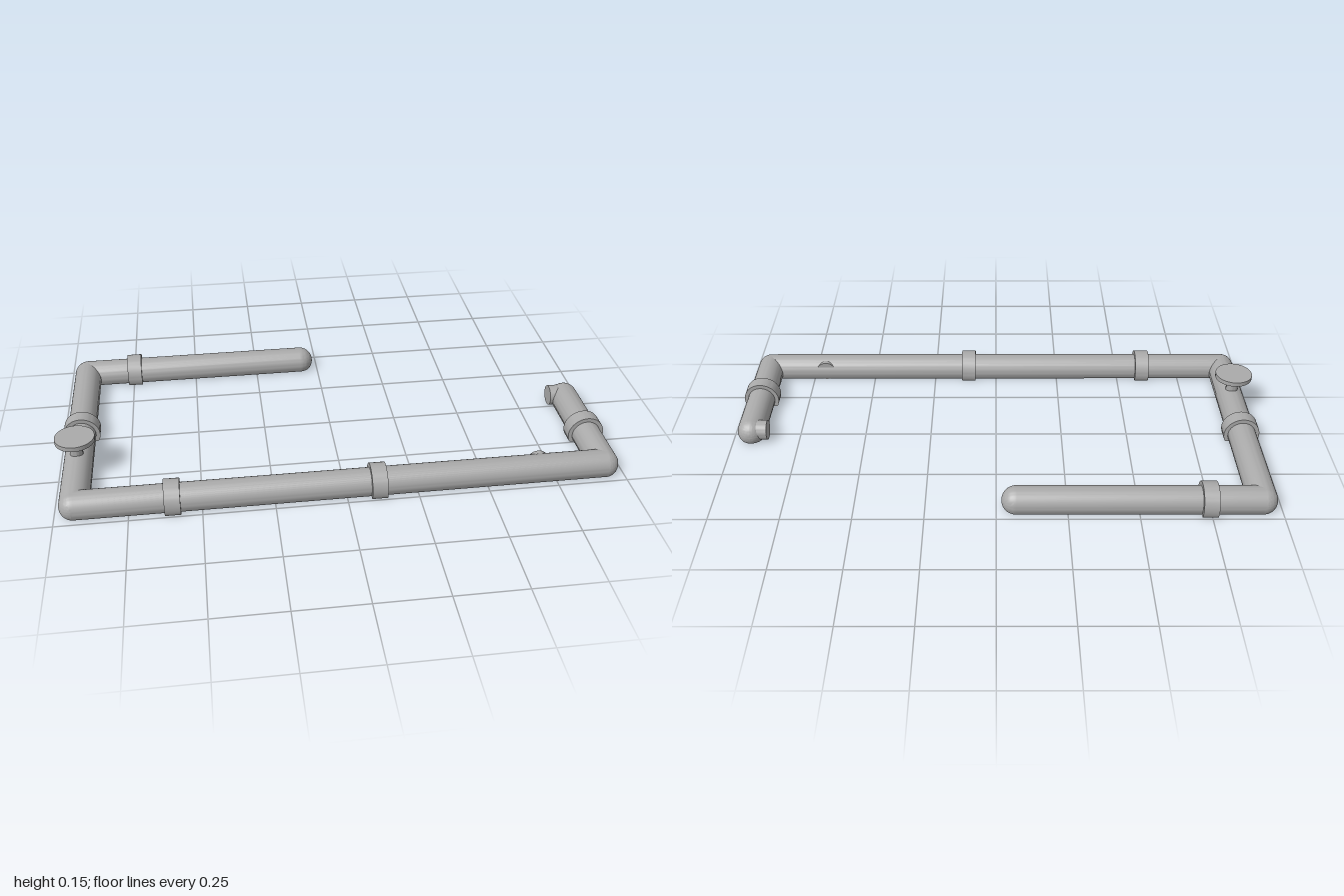
import * as THREE from 'three';
import { toCreasedNormals } from 'three/addons/utils/BufferGeometryUtils.js';

const AXIS_Y = 0.031;      // height of the pipe centreline above the ground
const PIPE_R = 0.052;
const X = 0.931, Z = 0.433; // pipe run offsets

export function createModel() {
  const model = new THREE.Group();
  model.name = 'pipeRun';
  const steel = new THREE.MeshStandardMaterial({ color: 0xaaaaaa });
  steel.name = 'steel grey';

  // Lay a y-axis shape along x or z, lift it to the centreline and flatten what falls below ground
  function lay(name, geometry, axis, x, y, z) {
    if (axis === 'x') geometry.rotateZ(Math.PI / 2);
    if (axis === 'z') geometry.rotateX(Math.PI / 2);
    geometry.translate(x, y, z);
    const p = geometry.attributes.position;
    for (let i = 0; i < p.count; i++) p.setY(i, Math.max(0, p.getY(i)));
    const mesh = new THREE.Mesh(toCreasedNormals(geometry, 0.6), steel);
    mesh.name = name;
    model.add(mesh);
  }

  // Round-ended pipes
  const pipe = (name, axis, x, z, length) =>
    lay(name, new THREE.CapsuleGeometry(PIPE_R, length, 12, 48), axis, x, AXIS_Y, z);
  pipe('frontPipe', 'x', 0, Z, 2 * X);
  pipe('rightPipe', 'z', -X, 0, 2 * Z);
  pipe('backPipe', 'x', (-X - 0.07) / 2, -Z, X - 0.07);
  pipe('leftPipe', 'z', X, (Z - 0.02) / 2, Z + 0.02);

  // Collars around the pipes
  const collars = [
    ['x', -0.6, Z], ['x', 0.112, Z], ['x', -0.743, -Z],
    ['z', -X, -0.019], ['z', X, 0.218],
  ];
  for (const [axis, x, z] of collars)
    lay('collar', new THREE.CylinderGeometry(0.067, 0.067, 0.055, 48), axis, x, AXIS_Y, z);

  // Round outlet caps on the inner sides
  const cap = () => new THREE.CylinderGeometry(0.038, 0.038, 0.04, 32);
  lay('frontOutletCap', cap(), 'z', 0.7, 0.038, 0.408);
  lay('leftOutletCap', cap(), 'x', 0.888, 0.038, -0.024);

  // Valve stem and handwheel
  lay('valveStem', new THREE.CylinderGeometry(0.023, 0.023, 0.11, 32), 'y', -X, 0.085, 0.195);
  lay('valveWheel', new THREE.CylinderGeometry(0.07, 0.07, 0.017, 48), 'y', -X, 0.143, 0.195);

  return model;
}
